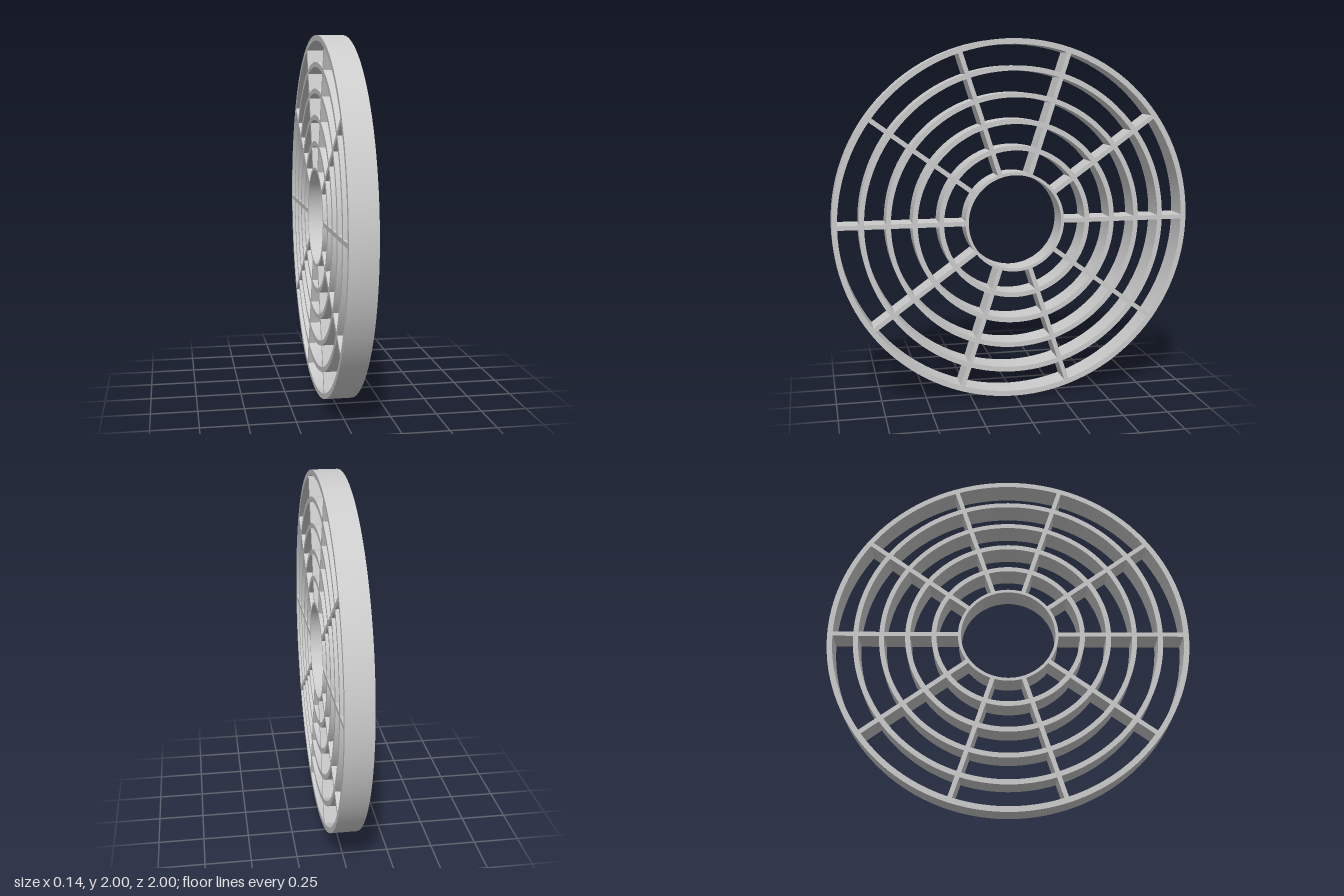
import * as THREE from 'three';
import { toCreasedNormals } from 'three/addons/utils/BufferGeometryUtils.js';

const DEPTH = 0.145;
const SPOKES = 10;
const SPOKE_WIDTH = 0.025;
// [inner radius, outer radius] of each concentric ring, hub first
const RINGS = [
  [0.261, 0.278], [0.397, 0.424], [0.541, 0.569],
  [0.685, 0.712], [0.828, 0.856], [0.97, 1.0],
];

export function createModel() {
  const group = new THREE.Group();
  group.name = 'ringGrille';
  const material = new THREE.MeshStandardMaterial({ color: 0xcccccc });
  const h = DEPTH / 2;

  // Concentric rings: rectangular section turned about the x axis
  RINGS.forEach(([inner, outer], i) => {
    const profile = [[inner, -h], [outer, -h], [outer, h], [inner, h], [inner, -h]]
      .map(([r, y]) => new THREE.Vector2(r, y));
    const geometry = toCreasedNormals(new THREE.LatheGeometry(profile, 120), 0.5);
    geometry.rotateZ(Math.PI / 2);
    const ring = new THREE.Mesh(geometry, material);
    ring.name = i === 0 ? 'hubRing' : i === RINGS.length - 1 ? 'outerRim' : `ring${i}`;
    group.add(ring);
  });

  // Radial spokes: short webs bridging each gap between neighbouring rings
  for (let s = 0; s < SPOKES; s++) {
    const spoke = new THREE.Group();
    spoke.name = `spoke${s + 1}`;
    for (let i = 0; i < RINGS.length - 1; i++) {
      const start = RINGS[i][1] - 0.004;
      const end = RINGS[i + 1][0] + 0.004;
      const web = new THREE.Mesh(
        new THREE.BoxGeometry(DEPTH, SPOKE_WIDTH, end - start), material);
      web.name = `spokeWeb${i + 1}`;
      web.position.z = (start + end) / 2;
      spoke.add(web);
    }
    spoke.rotation.x = (s / SPOKES) * Math.PI * 2;
    group.add(spoke);
  }

  // Stand the wheel on the ground
  group.children.forEach((part) => { part.position.y = 1; });
  return group;
}
